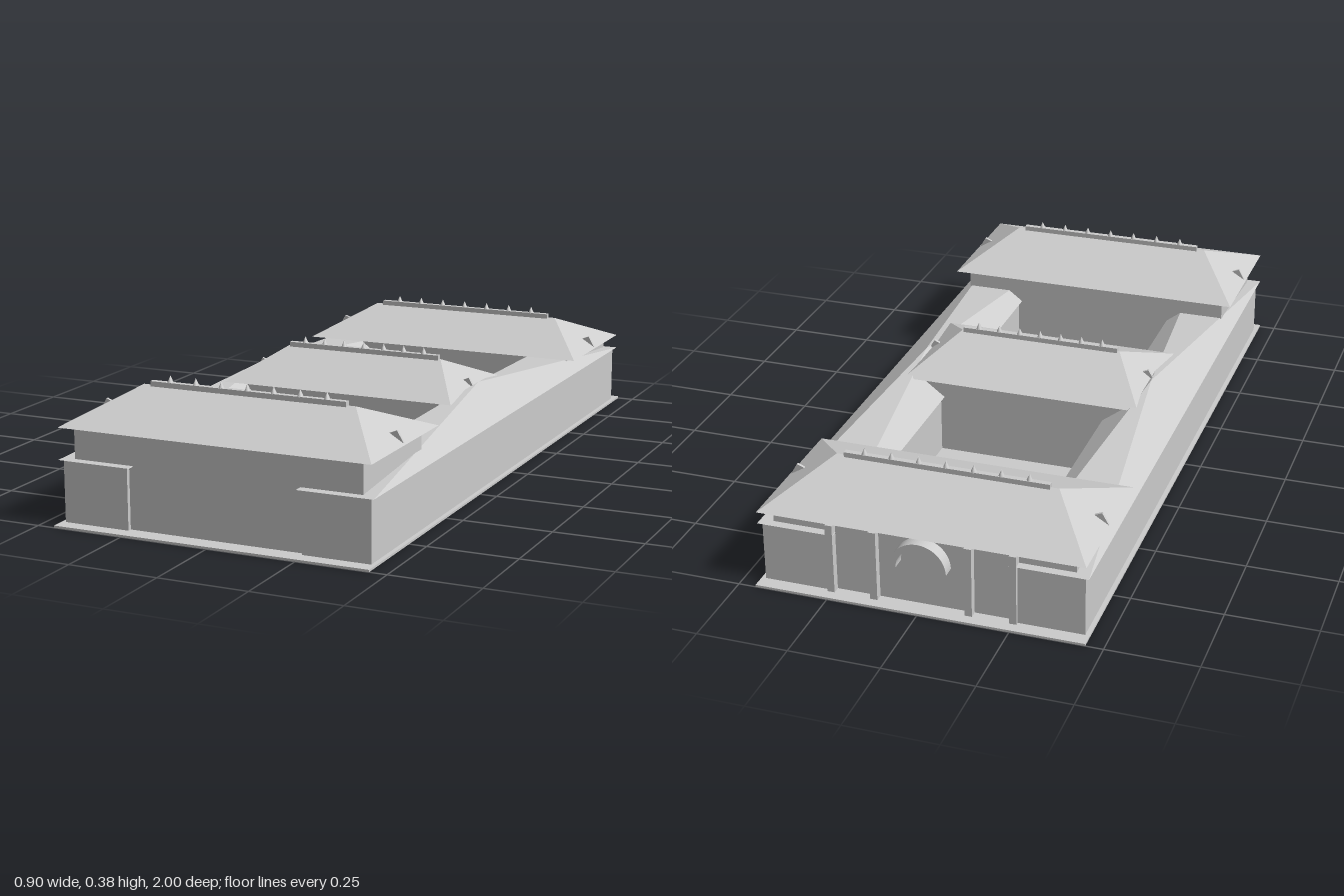
import * as THREE from 'three';

const stone = new THREE.MeshStandardMaterial({ color: 0xcccccc });
stone.name = 'pale grey';

function add(parent, name, geometry, x = 0, y = 0, z = 0) {
  const mesh = new THREE.Mesh(geometry, stone);
  mesh.name = name;
  mesh.position.set(x, y, z);
  parent.add(mesh);
  return mesh;
}

// Box given by its limits on each axis
function block(parent, name, x0, x1, y0, y1, z0, z1) {
  return add(parent, name, new THREE.BoxGeometry(x1 - x0, y1 - y0, z1 - z0),
    (x0 + x1) / 2, (y0 + y1) / 2, (z0 + z1) / 2);
}

// Hipped roof: rectangular eaves, ridge along x (a single apex when ridge is 0)
function hipGeometry(halfWidth, z0, z1, ridge, ridgeZ, height) {
  const a = [-halfWidth, 0, z1], b = [halfWidth, 0, z1];
  const c = [halfWidth, 0, z0], d = [-halfWidth, 0, z0];
  const l = [-ridge, height, ridgeZ], r = [ridge, height, ridgeZ];
  const faces = [[a, b, r], [b, c, r], [c, d, l], [d, a, l], [a, d, c], [a, c, b]];
  if (ridge > 0) faces.push([a, r, l], [c, l, r]);
  const geometry = new THREE.BufferGeometry();
  geometry.setAttribute('position', new THREE.Float32BufferAttribute(faces.flat(2), 3));
  geometry.computeVertexNormals();
  return geometry;
}

// Small upright triangular fin on the sloping end of a roof
function finGeometry(side) {
  const points = [[0, 0], [-0.045, 0.025], [-0.02, 0.035]]
    .map(([x, y]) => new THREE.Vector2(x * side, y));
  return new THREE.ExtrudeGeometry(new THREE.Shape(points), { depth: 0.008, bevelEnabled: false });
}

// Hall: walls, hipped roof, ridge beam with finials, end fins
function hall(name, o) {
  const group = new THREE.Group();
  group.name = name;
  block(group, 'hallWalls', -o.wallX, o.wallX, 0.006, o.eave + 0.001, o.wall[0], o.wall[1]);
  add(group, 'hallRoof', hipGeometry(o.roofX, o.roof[0], o.roof[1], o.ridgeX, o.ridgeZ, o.top - o.eave), 0, o.eave, 0);
  block(group, 'ridgeBeam', -o.beamX, o.beamX, o.top - 0.006, o.top + 0.011, o.ridgeZ - 0.008, o.ridgeZ + 0.008);
  for (let i = -3; i <= 3; i++) {
    add(group, 'ridgeFinial', new THREE.ConeGeometry(0.009, 0.02, 8), i * o.beamX * 0.267, o.top + 0.02, o.ridgeZ);
  }
  for (const side of [-1, 1]) {
    add(group, 'roofFin', finGeometry(side), side * (o.roofX - 0.003), o.eave, o.ridgeZ - 0.004);
  }
  return group;
}

export function createModel() {
  const model = new THREE.Group();
  model.name = 'courtyardCompound';

  block(model, 'basePlatform', -0.452, 0.452, 0, 0.006, -1, 1);

  // Long side wings with low pyramid roofs
  for (const side of [-1, 1]) {
    const wing = new THREE.Group();
    wing.name = side > 0 ? 'leftWing' : 'rightWing';
    const x = side * 0.345;
    block(wing, 'wingWalls', x - 0.095, x + 0.095, 0.006, 0.176, -0.96, 0.96);
    add(wing, 'wingRoof', hipGeometry(0.106, -0.97, 0.97, 0, 0, 0.08), x, 0.176, 0);
    model.add(wing);
  }

  // Three halls across the compound
  model.add(
    hall('frontHall', { wallX: 0.413, wall: [0.58, 0.948], eave: 0.265, top: 0.35, roofX: 0.447, roof: [0.547, 0.975], ridgeX: 0.308, ridgeZ: 0.762, beamX: 0.285 }),
    hall('middleHall', { wallX: 0.3, wall: [-0.135, 0.19], eave: 0.238, top: 0.319, roofX: 0.352, roof: [-0.17, 0.228], ridgeX: 0.24, ridgeZ: 0.03, beamX: 0.235 }),
    hall('backHall', { wallX: 0.413, wall: [-0.948, -0.58], eave: 0.215, top: 0.3, roofX: 0.447, roof: [-0.98, -0.55], ridgeX: 0.308, ridgeZ: -0.762, beamX: 0.285 }),
  );

  // Rear entrance: pilasters and a raised arch
  for (const side of [-1, 1]) {
    for (const x of [0.13, 0.25]) {
      block(model, 'rearPilaster', side * x - 0.01, side * x + 0.01, 0.006, 0.205, -0.97, -0.94);
    }
  }
  const outline = new THREE.Shape();
  outline.absarc(0, 0, 0.077, 0, Math.PI, false);
  outline.absarc(0, 0, 0.06, Math.PI, 0, true);
  outline.closePath();
  const arch = new THREE.ExtrudeGeometry(outline, { depth: 0.04, bevelEnabled: false, curveSegments: 20 });
  add(model, 'rearArch', arch, 0, 0.125, -0.985);

  return model;
}
